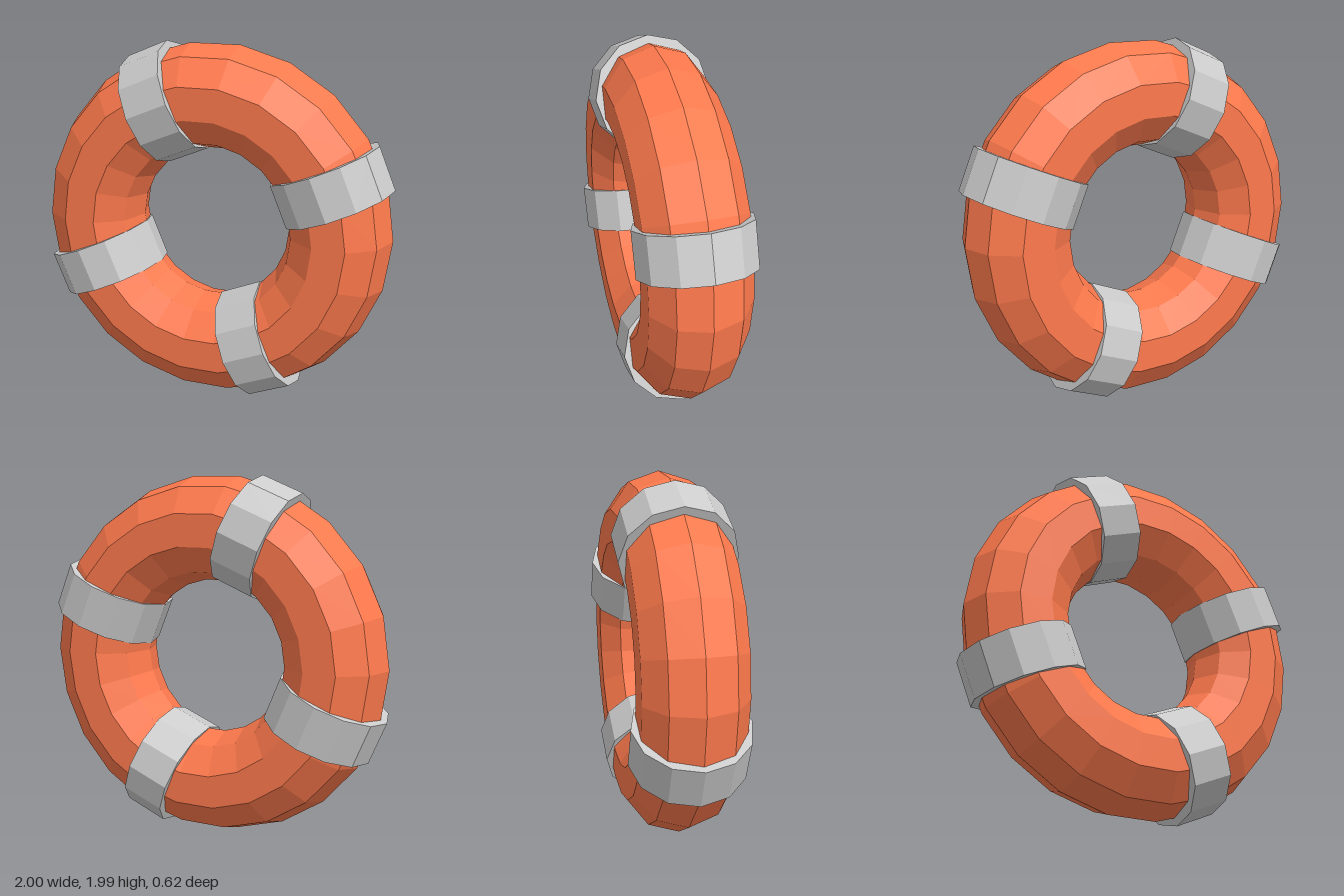
import * as THREE from 'three';

const RING_RADIUS = 0.715;
const TUBE_RADIUS = 0.285;
const BAND_RADIUS = 0.312;
const BAND_WIDTH = 0.247;
const CENTRE_Y = 0.996;

export function createModel() {
  const model = new THREE.Group();
  model.name = 'lifebuoy';

  const orange = new THREE.MeshStandardMaterial({ color: 0xff7a4d, flatShading: true });
  const grey = new THREE.MeshStandardMaterial({ color: 0xcccccc, flatShading: true });

  // Faceted floating ring, standing upright
  const ring = new THREE.Mesh(new THREE.TorusGeometry(RING_RADIUS, TUBE_RADIUS, 10, 22), orange);
  ring.name = 'floatRing';
  ring.position.y = CENTRE_Y;
  model.add(ring);

  // Four closed bands around the tube, a quarter turn apart
  const bandGeometry = new THREE.CylinderGeometry(BAND_RADIUS, BAND_RADIUS, BAND_WIDTH, 12);
  for (let i = 0; i < 4; i++) {
    const angle = Math.PI / 8 + (i * Math.PI) / 2;
    const band = new THREE.Mesh(bandGeometry, grey);
    band.name = `band${i + 1}`;
    band.position.set(RING_RADIUS * Math.cos(angle), CENTRE_Y + RING_RADIUS * Math.sin(angle), 0);
    band.rotation.z = angle;
    model.add(band);
  }

  return model;
}
